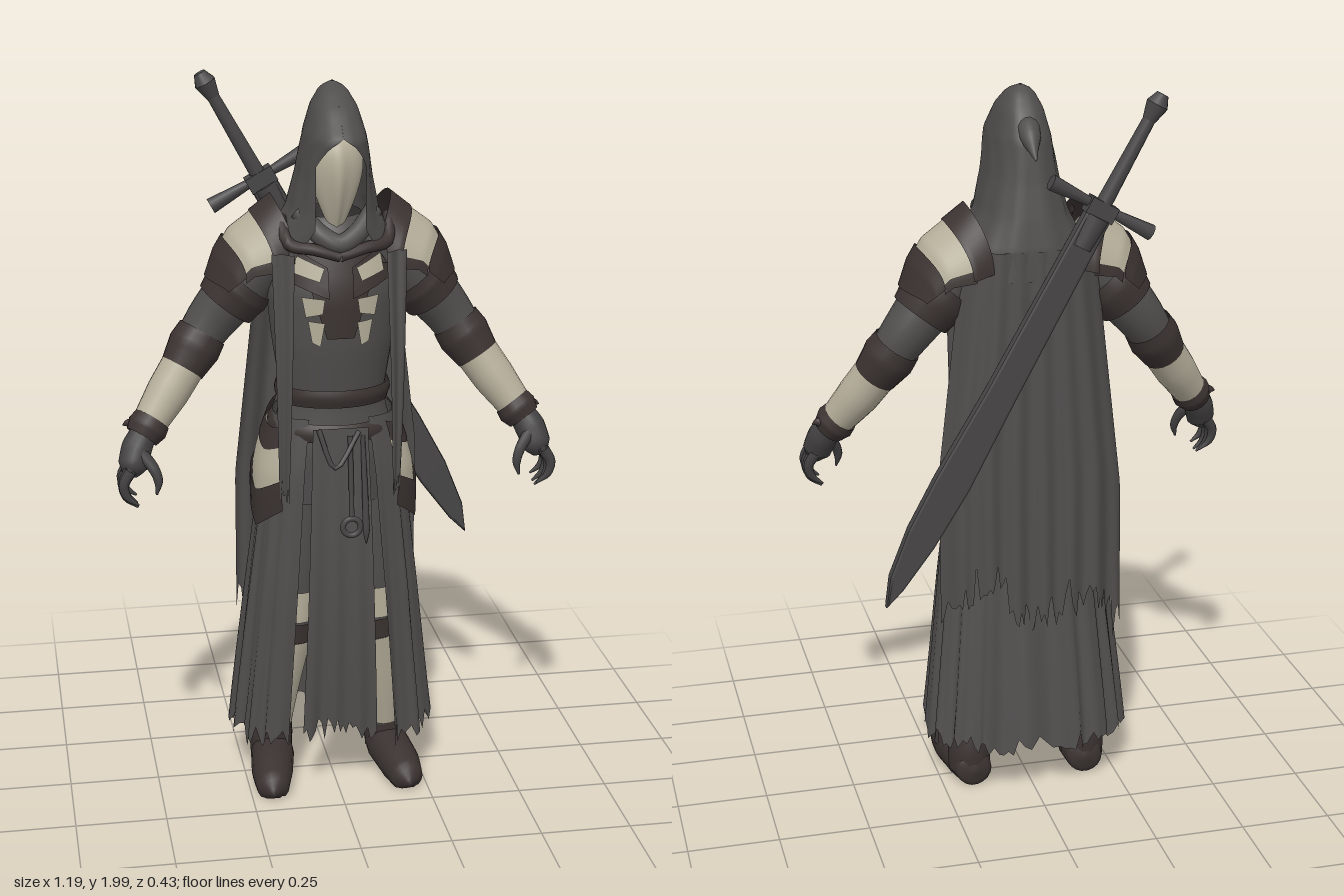
import * as THREE from 'three';
import { mergeVertices } from 'three/addons/utils/BufferGeometryUtils.js';

const mat = (name, color) => new THREE.MeshStandardMaterial({ name, color, side: THREE.DoubleSide });
const V = (x, y, z) => new THREE.Vector3(x, y, z);
const mix = THREE.MathUtils.lerp;
const hash = n => { const f = Math.sin(n * 12.9898) * 43758.5453; return f - Math.floor(f); };

// Body sections from top to bottom: y, half width, front z, back z
const TORSO = [[1.64, 0.08, 0.09, -0.09], [1.57, 0.16, 0.13, -0.13], [1.45, 0.18, 0.165, -0.13],
  [1.3, 0.165, 0.16, -0.11], [1.14, 0.14, 0.135, -0.085], [1, 0.175, 0.15, -0.09], [0.85, 0.17, 0.13, -0.09]];
const SKIRT = [[1.1, 0.165, 0.145, -0.085], [0.95, 0.195, 0.165, -0.1], [0.6, 0.235, 0.18, -0.14], [0.13, 0.285, 0.18, -0.2]];
const HOOD = [[1.99, 0.004, 0.03, 0.02], [1.975, 0.034, 0.075, -0.01], [1.93, 0.06, 0.14, -0.05], [1.86, 0.08, 0.21, -0.09],
  [1.75, 0.098, 0.193, -0.11], [1.66, 0.12, 0.178, -0.13], [1.58, 0.16, 0.165, -0.145], [1.5, 0.185, 0.165, -0.15]];

// Interpolated section values at height y
function section(rows, y) {
  let i = 0;
  while (i < rows.length - 2 && y < rows[i + 1][0]) i++;
  const t = THREE.MathUtils.clamp((rows[i][0] - y) / (rows[i][0] - rows[i + 1][0]), 0, 1);
  return rows[i].map((v, k) => mix(v, rows[i + 1][k], t));
}

// Point round a section; angle 0 is the front, +x is a quarter turn
function around(rows, y, a, off = 0, square = 1) {
  const [, rx, zf, zb] = section(rows, y);
  const p = v => Math.sign(v) * Math.abs(v) ** square;
  return V(p(Math.sin(a)) * (rx + off), y, (zf + zb) / 2 + p(Math.cos(a)) * ((zf - zb) / 2 + off));
}

export function createModel() {
  const model = new THREE.Group();
  const cloth = mat('greyCloth', 0x504e4d), leather = mat('brownLeather', 0x3b3331), bone = mat('bone', 0xb5ae9a);
  const steel = mat('darkSteel', 0x474545), glove = mat('gloveGrey', 0x424041);

  function add(name, geo, material, parent = model) {
    const m = new THREE.Mesh(geo, material);
    m.name = name;
    parent.add(m);
    return m;
  }
  // Smooth sheet from f(u, v)
  function sheet(name, material, f, nu = 24, nv = 12) {
    let g = new THREE.PlaneGeometry(1, 1, nu, nv);
    const pos = g.attributes.position;
    for (let i = 0; i < pos.count; i++) {
      const p = f((i % (nu + 1)) / nu, Math.floor(i / (nu + 1)) / nv);
      pos.setXYZ(i, p.x, p.y, p.z);
    }
    g.deleteAttribute('uv');
    g.deleteAttribute('normal');
    g = mergeVertices(g, 1e-5);
    g.computeVertexNormals();
    return add(name, g, material);
  }
  // Round limb through [x, y, z, radius] points
  function limb(name, material, pts, sides = 14, minY = -9) {
    const curve = new THREE.CatmullRomCurve3(pts.map(p => V(p[0], p[1], p[2])));
    const d = curve.getPoint(1).sub(curve.getPoint(0)).normalize();
    const ref = Math.abs(d.z) > 0.7 ? V(0, 1, 0) : V(0, 0, 1);
    const n = pts.length - 1;
    return sheet(name, material, (u, v) => {
      const i = Math.min(Math.floor(v * n), n - 1), r = mix(pts[i][3], pts[i + 1][3], v * n - i);
      const t = curve.getTangent(v), a = V().crossVectors(t, ref).normalize(), b = V().crossVectors(a, t);
      const p = curve.getPoint(v).addScaledVector(a, r * Math.cos(u * 2 * Math.PI)).addScaledVector(b, r * Math.sin(u * 2 * Math.PI));
      p.y = Math.max(p.y, minY);
      return p;
    }, sides, n * 4);
  }
  // Thin patch on the chest spanning four [x, y] corners
  function patch(name, material, [a, b, c, d], off) {
    sheet(name, material, (u, v) => {
      const x = mix(mix(a[0], b[0], u), mix(d[0], c[0], u), v), y = mix(mix(a[1], b[1], u), mix(d[1], c[1], u), v);
      const [, rx] = section(TORSO, y);
      return around(TORSO, y, Math.asin(THREE.MathUtils.clamp(x / rx, -1, 1)), off);
    }, 8, 6);
  }
  const band = (name, material, rows, y0, y1, off, sag = 0) => sheet(name, material, (u, v) => {
    const a = u * 2 * Math.PI, p = around(rows, mix(y0, y1, v), a, off + 0.008 * Math.sin(v * Math.PI));
    p.y -= sag * Math.cos(a);
    return p;
  }, 36, 5);

  // Torso, belts and layered skirt
  sheet('torso', cloth, (u, v) => around(TORSO, mix(1.64, 0.85, v), u * 2 * Math.PI), 36, 24);
  band('upperBelt', leather, TORSO, 1.18, 1.13, 0.008);
  band('lowerBelt', leather, TORSO, 1.1, 1.05, 0.014, 0.015);
  const skirtAt = (y, a, off = 0) => around(SKIRT, y, a, off, 0.8);
  sheet('outerSkirt', cloth, (u, v) => {
    const open = mix(0.42, 0.48, v), a = mix(open, 2 * Math.PI - open, u), y = mix(1.1, 0.17, v);
    const p = skirtAt(y, a, 0.009 * v * Math.sin(a * 17) + 0.005 * v * Math.sin(a * 31));
    p.y += (hash(Math.round(u * 110)) - 0.6) * 0.07 * v ** 10;
    return p;
  }, 110, 24);
  sheet('frontTabard', cloth, (u, v) => V(mix(-1, 1, u) * mix(0.075, 0.105, v),
    mix(1.08, 0.19, v) + (hash(Math.round(u * 24) + 5) - 0.5) * 0.08 * v ** 10,
    0.165 + 0.022 * Math.sin(v * 3) + 0.007 * Math.sin(u * 19) * v), 24, 24);

  // Chest bone plates and leather harness
  patch('chestHarness', leather, [[-0.11, 1.58], [0.11, 1.58], [0.035, 1.33], [-0.035, 1.33]], 0.008);
  for (const s of [-1, 1]) {
    patch('collarStrap', leather, [[s * 0.03, 1.52], [s * 0.13, 1.58], [s * 0.17, 1.5], [s * 0.03, 1.44]], 0.013);
    patch('upperChestPlate', bone, [[s * 0.038, 1.52], [s * 0.1, 1.55], [s * 0.108, 1.505], [s * 0.05, 1.485]], 0.02);
    patch('middleChestPlate', bone, [[s * 0.04, 1.44], [s * 0.095, 1.445], [s * 0.085, 1.39], [s * 0.045, 1.4]], 0.015);
    patch('lowerChestPlate', bone, [[s * 0.04, 1.375], [s * 0.08, 1.38], [s * 0.07, 1.32], [s * 0.05, 1.31]], 0.014);
    limb('cowlEdge', leather, [[s * 0.145, 1.64, 0.06, 0.016], [s * 0.13, 1.58, 0.12, 0.018],
      [s * 0.07, 1.57, 0.15, 0.016], [0, 1.55, 0.16, 0.014]], 10);
  }

  // Hood with open face, curled tip and bone mask
  sheet('hood', cloth, (u, v) => {
    const y = mix(1.99, 1.5, v), rx = section(HOOD, y)[1];
    const w = y > 1.86 ? 0 : 0.066 * Math.min(1, Math.sqrt((1.86 - y) / 0.07)) + 0.65 * Math.max(0, 1.62 - y);
    const open = Math.asin(Math.min(w / rx, 0.95) ** 1.2);
    return around(HOOD, y, mix(open, 2 * Math.PI - open, u), 0.003 * v * Math.sin(u * 60), 0.83);
  }, 48, 44);
  limb('hoodTip', cloth, [[0, 1.88, 0.02, 0.03], [0, 1.887, -0.045, 0.034], [0, 1.865, -0.085, 0.027], [0, 1.84, -0.115, 0.012], [0, 1.82, -0.142, 0.002]]);
  sheet('boneMask', bone, (u, v) => {
    const a = mix(-1.5, 1.5, u), y = mix(1.86, 1.59, v);
    const w = 0.07 * Math.sin(Math.PI * Math.min(1, 0.06 + v ** 0.58 * 0.94)) ** 0.8 + 0.002;
    return V(w * Math.sin(a), y, 0.085 + w * 0.75 * Math.cos(a) + 0.014 * Math.exp(-a * a * 14) * Math.sin(v * Math.PI));
  }, 28, 20);
  limb('neckScarf', cloth, [[-0.1, 1.66, 0.09, 0.025], [-0.05, 1.605, 0.13, 0.027], [0, 1.58, 0.145, 0.028], [0.05, 1.605, 0.13, 0.027], [0.1, 1.66, 0.09, 0.025]]);

  // Tattered back cape
  sheet('backCape', cloth, (u, v) => {
    const k = mix(-1, 1, u), y = mix(1.58, 0.58 + 0.06 * k - 0.06 * Math.cos(k * 6), v);
    return V(k * mix(0.18, 0.255, Math.min(1, v * 1.6)), y + (hash(Math.round(u * 64) + 9) - 0.5) * 0.14 * v ** 7,
      -0.145 - 0.025 * v + 0.075 * k ** 4 + 0.009 * Math.sin(k * 21) * (0.3 + v));
  }, 64, 28);

  for (const s of [-1, 1]) {
    // Hanging front stole
    sheet('frontStole', cloth, (u, v) => V(s * (mix(0.122, 0.18, u) + 0.02 * v - 0.035 * u * v),
      mix(1.56, 0.9, v) + (hash(Math.round(u * 8)) - 0.5) * 0.05 * v ** 6,
      mix(0.165, 0.14, u) + 0.018 * Math.sin(v * 3) + 0.006 * Math.sin(u * 9) + 0.01 * v), 8, 16);

    // Shoulder guard: leather, bone and leather bands on one dome
    const DOME = [[0.155, 1.685, 0.125, 0.17], [0.205, 1.645, 0.14, 0.14], [0.272, 1.595, 0.129, 0.1], [0.308, 1.535, 0.121, 0.07], [0.332, 1.465, 0.108, 0.02]];
    const dome = (name, m, v0, v1, off, reach = 1.55) => sheet(name, m, (u, v) => {
      const ph = mix(-reach, reach, u);
      const t = mix(v0, v1, v) * 4, i = Math.min(3, Math.floor(t));
      const [x, y, r, drop] = DOME[i].map((q, k) => mix(q, DOME[i + 1][k], t - i));
      return V(s * (x + off - 0.05 * Math.sin(ph) ** 2), y + off - drop * (1 - Math.cos(ph)), -0.008 + (r + off) * Math.sin(ph));
    }, 24, 10);
    dome('shoulderInnerTrim', leather, 0, 0.28, 0.006);
    dome('shoulderBonePlate', bone, 0.25, 0.62, 0.003, 1.35);
    dome('shoulderBacking', leather, 0.27, 0.65, -0.002);
    dome('shoulderOuterTrim', leather, 0.59, 1, 0.008);

    // Arm: sleeve, straps, elbow wrap, bone bracer, cuff
    limb('sleeve', cloth, [[s * 0.17, 1.54, 0, 0.08], [s * 0.257, 1.43, -0.01, 0.079], [s * 0.33, 1.34, -0.015, 0.067],
      [s * 0.39, 1.25, 0.005, 0.055], [s * 0.45, 1.165, 0.035, 0.048], [s * 0.51, 1.08, 0.07, 0.038]], 18);
    limb('upperArmStrap', leather, [[s * 0.225, 1.465, -0.005, 0.088], [s * 0.25, 1.437, -0.01, 0.094], [s * 0.285, 1.392, -0.012, 0.084]], 18);
    limb('elbowWrap', leather, [[s * 0.348, 1.315, -0.012, 0.068], [s * 0.372, 1.278, -0.003, 0.073], [s * 0.407, 1.225, 0.014, 0.061]], 18);
    limb('elbowSpur', leather, [[s * 0.385, 1.24, -0.01, 0.035], [s * 0.408, 1.29, -0.01, 0.025], [s * 0.415, 1.33, -0.01, 0.002]], 8);
    limb('boneBracer', bone, [[s * 0.4, 1.237, 0.01, 0.06], [s * 0.45, 1.165, 0.035, 0.058], [s * 0.507, 1.087, 0.068, 0.047]], 18);
    limb('cuff', leather, [[s * 0.495, 1.1, 0.062, 0.051], [s * 0.51, 1.08, 0.071, 0.056], [s * 0.526, 1.058, 0.08, 0.046]], 16);
    limb('cuffSpur', leather, [[s * 0.53, 1.08, 0.06, 0.022], [s * 0.56, 1.09, 0.055, 0.012], [s * 0.575, 1.085, 0.055, 0.001]], 8);

    // Gloved hand with curled fingers
    limb('palm', glove, [[s * 0.515, 1.075, 0.075, 0.036], [s * 0.54, 1.035, 0.095, 0.042], [s * 0.555, 0.99, 0.115, 0.04], [s * 0.565, 0.965, 0.12, 0.02]]);
    for (let i = 0; i < 4; i++) {
      const z = 0.085 + i * 0.025, l = 1 - Math.abs(i - 1.6) * 0.12;
      limb('finger', glove, [[s * 0.563, 0.99, z, 0.016], [s * 0.583, 0.99 - 0.045 * l, z + 0.004, 0.014],
        [s * 0.575, 0.99 - 0.085 * l, z + 0.006, 0.011], [s * 0.545, 0.99 - 0.115 * l, z + 0.005, 0.003]], 8);
    }
    limb('thumb', glove, [[s * 0.535, 1.03, 0.12, 0.018], [s * 0.502, 0.99, 0.145, 0.015], [s * 0.49, 0.955, 0.155, 0.012], [s * 0.496, 0.92, 0.16, 0.003]], 8);

    // Hip guard: strap, bone plate and pointed leather edge
    const hip = (name, m, v0, v1, off) => sheet(name, m, (u, v) => {
      const a = mix(0.7, 2.3, u), k = a - 1.25;
      const top = 1.1 - 0.03 * Math.cos(k * 2), low = 0.79 + 0.11 * Math.abs(k), t = mix(v0, v1, v);
      const p = skirtAt(mix(top, low, t), a, off + 0.012 * Math.sin(t * Math.PI));
      return V(s * p.x, p.y, p.z);
    }, 20, 8);
    hip('hipStrap', leather, 0, 0.22, 0.014);
    hip('hipBonePlate', bone, 0.18, 0.68, 0.012);
    hip('hipLeatherEdge', leather, 0.62, 1, 0.018);

    // Leg, front bone guards and boot
    limb('leg', cloth, [[s * 0.09, 1, 0.02, 0.085], [s * 0.115, 0.55, 0.025, 0.075], [s * 0.145, 0.3, 0, 0.06], [s * 0.165, 0.1, -0.03, 0.048]]);
    limb('thighGuard', bone, [[s * 0.112, 0.59, 0.04, 0.075], [s * 0.118, 0.5, 0.04, 0.074]]);
    limb('kneeStrap', leather, [[s * 0.118, 0.5, 0.03, 0.082], [s * 0.125, 0.44, 0.025, 0.08]]);
    limb('shinGuard', bone, [[s * 0.125, 0.44, 0.035, 0.067], [s * 0.145, 0.3, 0.016, 0.058], [s * 0.16, 0.14, -0.013, 0.046]]);
    limb('bootShaft', leather, [[s * 0.165, 0.15, -0.03, 0.056], [s * 0.168, 0.1, -0.035, 0.062], [s * 0.168, 0.04, -0.035, 0.06]], 14, 0);
    limb('boot', leather, [[s * 0.162, 0.05, -0.1, 0], [s * 0.163, 0.05, -0.085, 0.05], [s * 0.17, 0.05, 0, 0.062],
      [s * 0.184, 0.04, 0.1, 0.058], [s * 0.192, 0.03, 0.175, 0.045], [s * 0.195, 0.025, 0.212, 0]], 18, 0);
  }

  // Belt cords and ring charm
  limb('beltCord', steel, [[-0.06, 1.08, 0.165, 0.007], [-0.02, 0.98, 0.2, 0.007], [0.05, 1.07, 0.165, 0.007]], 6);
  limb('charmCord', steel, [[0.025, 1.06, 0.17, 0.007], [0.025, 0.84, 0.2, 0.007]], 6);
  add('charmRing', new THREE.TorusGeometry(0.024, 0.008, 8, 20), steel).position.set(0.025, 0.81, 0.2);
  limb('sideCharm', steel, [[0.06, 1.06, 0.165, 0.006], [0.065, 0.8, 0.2, 0.01], [0.065, 0.76, 0.2, 0.002]], 6);

  // Sword carried across the back, built from the tip upwards
  const sword = new THREE.Group();
  sword.name = 'sword';
  const outline = new THREE.Shape([[0, 0], [0.03, 0.08], [0.048, 0.22], [0.05, 0.38], [0.04, 0.65], [0.034, 1.2],
    [-0.034, 1.2], [-0.04, 0.65], [-0.046, 0.38], [-0.036, 0.2], [-0.016, 0.06]].map(p => new THREE.Vector2(...p)));
  add('sheathedBlade', new THREE.ExtrudeGeometry(outline, { depth: 0.014, bevelThickness: 0.01, bevelSize: 0.008, bevelOffset: -0.004, bevelSegments: 2 }), steel, sword).position.z = -0.007;
  const cyl = (name, r0, r1, y0, y1) => add(name, new THREE.CylinderGeometry(r1, r0, y1 - y0, 14), steel, sword).position.y = (y0 + y1) / 2;
  cyl('sheathThroat', 0.03, 0.036, 1.1, 1.19);
  cyl('grip', 0.022, 0.017, 1.21, 1.48);
  cyl('pommel', 0.018, 0.03, 1.47, 1.515);
  cyl('pommelCap', 0.03, 0.016, 1.515, 1.545);
  add('guardBlock', new THREE.BoxGeometry(0.08, 0.045, 0.045), steel, sword).position.y = 1.21;
  for (const s of [-1, 1]) {
    const arm = add('guardArm', new THREE.CylinderGeometry(0.022, 0.012, 0.13, 10), steel, sword);
    arm.position.set(s * 0.09, 1.215, 0);
    arm.rotation.z = -s * Math.PI / 2;
  }
  sword.position.set(0.425, 0.635, -0.18);
  sword.rotation.z = 0.507;
  model.add(sword);
  return model;
}
